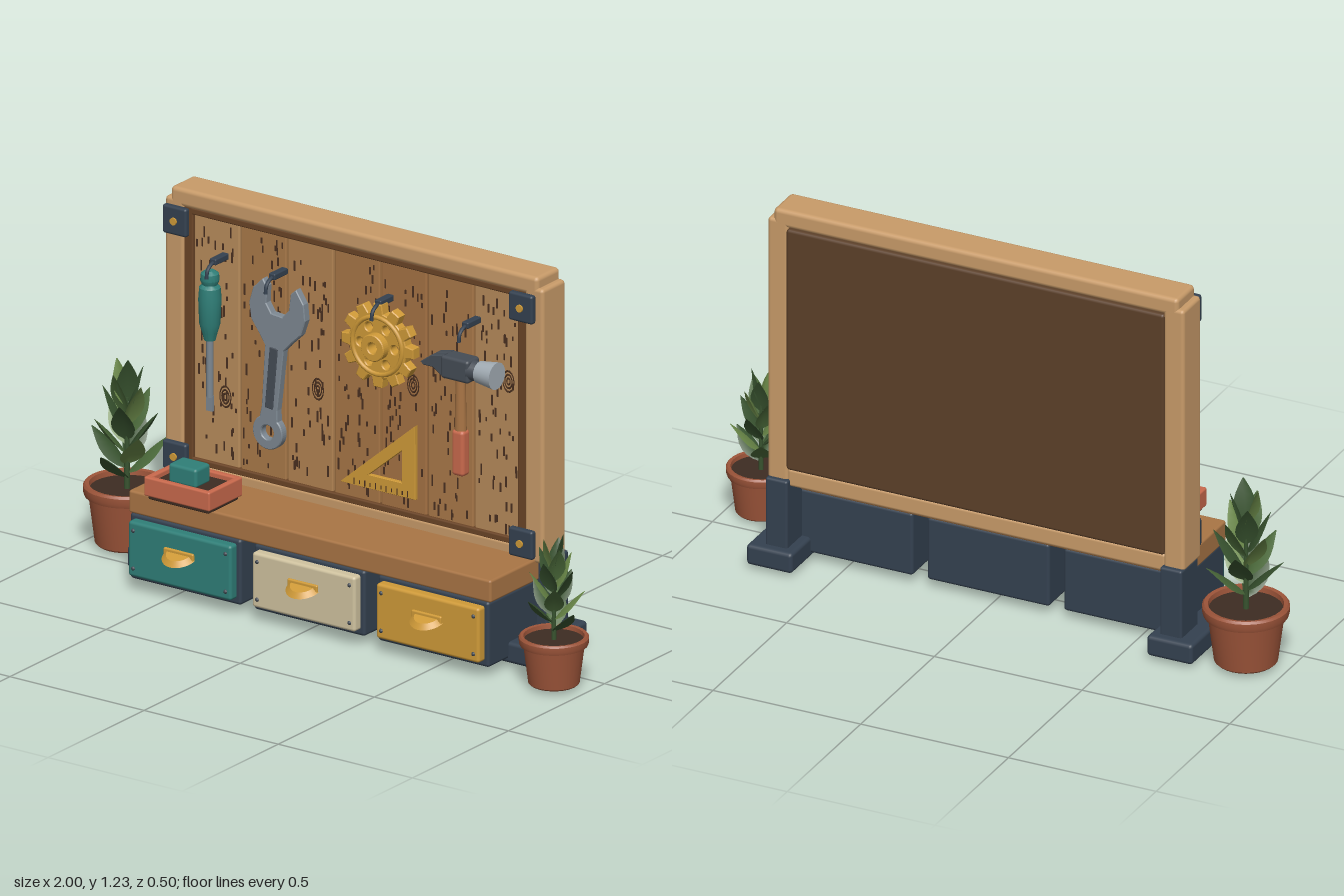
import * as THREE from 'three';
import { mergeGeometries, toCreasedNormals } from 'three/addons/utils/BufferGeometryUtils.js';
import { RoundedBoxGeometry } from 'three/addons/geometries/RoundedBoxGeometry.js';

const C = {
  tan: 0xc89b69, bench: 0xa97545, trim: 0x6b4527, back: 0x5c4029, grain: 0x4a3020, dark: 0x344150,
  teal: 0x2f7f78, cream: 0xd0c3a0, gold: 0xcf9a38, salmon: 0xc9694c, clay: 0x9c5439, soil: 0x3d2c22,
  steel: 0x7d8892, iron: 0x454c55, light: 0xa3adb5, leafDark: 0x38532f, leafMid: 0x4b6a3a, leafLight: 0x6a8848,
};
const mats = {};
const mat = (c) => (mats[c] ??= new THREE.MeshStandardMaterial({ color: c }));

let seed = 7;
const rnd = () => (seed = (seed * 16807) % 2147483647) / 2147483647;

function add(parent, name, geo, color, x = 0, y = 0, z = 0) {
  const m = new THREE.Mesh(geo, mat(color));
  m.name = name;
  m.position.set(x, y, z);
  parent.add(m);
  return m;
}

// Rounded block given by its extents on each axis
function block(parent, name, color, [x0, x1], [y0, y1], [z0, z1], r = 0.008) {
  return add(parent, name, new RoundedBoxGeometry(x1 - x0, y1 - y0, z1 - z0, 2, r), color,
    (x0 + x1) / 2, (y0 + y1) / 2, (z0 + z1) / 2);
}

const extrude = (shape, depth, bevel = 0.003) => new THREE.ExtrudeGeometry(shape, {
  depth, bevelEnabled: bevel > 0, bevelSize: bevel, bevelThickness: bevel, bevelSegments: 1, curveSegments: 20,
});
const polygon = (pts) => new THREE.Shape(pts.map((p) => new THREE.Vector2(...p)));
const circle = (x, y, r) => new THREE.Path().absarc(x, y, r, 0, Math.PI * 2, true);
const lathe = (pts, n = 24) =>
  toCreasedNormals(new THREE.LatheGeometry(pts.map((p) => new THREE.Vector2(...p)), n), 0.6);

function buildFrame(g) {
  for (const s of [-1, 1]) {
    const span = (a, b) => (s > 0 ? [a, b] : [-b, -a]);
    block(g, 'framePost', C.tan, span(0.635, 0.705), [0.3, 1.19], [-0.19, -0.07], 0.012);
    block(g, 'innerTrim', C.trim, span(0.605, 0.642), [0.34, 1.17], [-0.17, -0.077], 0.005);
    block(g, 'leg', C.dark, span(0.63, 0.705), [0.01, 0.31], [-0.205, -0.09]);
    block(g, 'foot', C.dark, span(0.6, 0.755), [0.015, 0.083], [-0.235, 0.06], 0.012);
    block(g, 'footPad', C.dark, span(0.64, 0.71), [0, 0.02], [-0.2, -0.1], 0.005);
    // Corner plates with bolts
    for (const y of [0.368, 1.13]) {
      block(g, 'cornerPlate', C.dark, span(0.6, 0.69), [y - 0.046, y + 0.046], [-0.057, -0.034], 0.008);
      const bolt = add(g, 'bolt', new THREE.CylinderGeometry(0.012, 0.012, 0.008, 12), C.gold, s * 0.645, y, -0.032);
      bolt.rotation.x = Math.PI / 2;
    }
  }
  block(g, 'topRail', C.tan, [-0.685, 0.685], [1.165, 1.225], [-0.19, -0.07], 0.014);
  block(g, 'bottomRail', C.tan, [-0.64, 0.64], [0.285, 0.345], [-0.185, -0.075], 0.01);
  for (const y of [0.35, 1.157]) block(g, 'innerTrim', C.trim, [-0.64, 0.64], [y - 0.011, y + 0.011], [-0.17, -0.077], 0.005);
  block(g, 'backPanel', C.back, [-0.64, 0.64], [0.345, 1.165], [-0.195, -0.13], 0.01);
}

function buildPlanks(g) {
  const w = 1.22 / 7;
  const tones = [0xb98d5c, 0xaa7a49, 0xb28352, 0xa77646, 0xa57243, 0xa97848, 0xb68a5a];
  const grain = [];
  for (let i = 0; i < 7; i++) {
    const x0 = -0.61 + i * w;
    block(g, 'plank', tones[i], [x0 + 0.003, x0 + w - 0.003], [0.355, 1.152], [-0.15, -0.087], 0.005);
    for (let k = 0; k < 55; k++) {
      const dash = new THREE.BoxGeometry(0.005, 0.012 + rnd() * 0.025, 0.004);
      dash.translate(x0 + 0.014 + rnd() * (w - 0.028), 0.38 + rnd() * 0.74, -0.0865);
      grain.push(dash);
    }
  }
  // Knots made of nested rings
  for (const [x, y] of [[-0.49, 0.58], [-0.145, 0.68], [0.21, 0.77], [0.565, 0.86]])
    for (const r of [0.008, 0.017, 0.026])
      grain.push(new THREE.TorusGeometry(r, 0.0025, 4, 14).scale(0.8, 1.3, 1).translate(x, y, -0.086));
  add(g, 'woodGrain', mergeGeometries(grain), C.grain);
  block(g, 'plankBacking', C.trim, [-0.61, 0.61], [0.35, 1.16], [-0.155, -0.1], 0.004);
}

function buildBench(g) {
  block(g, 'benchTop', C.bench, [-0.675, 0.675], [0.24, 0.313], [-0.11, 0.16]);
  [C.teal, C.cream, C.gold].forEach((color, i) => {
    const d = new THREE.Group();
    d.name = 'drawer';
    d.position.x = (i - 1) * 0.462;
    g.add(d);
    block(d, 'drawerCase', C.dark, [-0.207, 0.207], [0.03, 0.242], [-0.105, 0.162], 0.01);
    block(d, 'drawerFront', color, [-0.192, 0.192], [0.05, 0.228], [0.15, 0.193], 0.01);
    for (const x of [-0.172, 0.172]) for (const y of [0.078, 0.2])
      add(d, 'drawerBolt', new THREE.SphereGeometry(0.007, 8, 6), C.iron, x, y, 0.192);
    // Cup pull: half-ring lip under a sloping hood
    const pull = add(d, 'drawerPull', new THREE.CylinderGeometry(0.042, 0.058, 0.014, 20, 1, false, -Math.PI / 2, Math.PI), C.gold, 0, 0.16, 0.19);
    pull.rotation.x = 0.35;
    pull.material.side = THREE.DoubleSide;
    block(d, 'pullPlate', C.gold, [-0.056, 0.056], [0.147, 0.174], [0.188, 0.2], 0.005);
  });
}

function buildTray(g) {
  const [x0, x1, z0, z1] = [-0.59, -0.345, 0.025, 0.2];
  block(g, 'trayBase', C.soil, [x0 + 0.01, x1 - 0.01], [0.313, 0.37], [z0 + 0.01, z1 - 0.01], 0.004);
  for (const x of [x0, x1 - 0.02]) block(g, 'traySide', C.salmon, [x, x + 0.02], [0.325, 0.387], [z0, z1], 0.006);
  for (const z of [z0, z1 - 0.02]) block(g, 'traySide', C.salmon, [x0, x1], [0.325, 0.387], [z, z + 0.02], 0.006);
  block(g, 'trayBlock', C.teal, [-0.535, -0.43], [0.365, 0.427], [0.073, 0.15], 0.01);
}

function buildHooks(g) {
  for (const x of [-0.49, -0.27, 0.125, 0.45]) {
    block(g, 'hookBase', C.dark, [x - 0.012, x + 0.012], [1.026, 1.046], [-0.09, -0.02], 0.004);
    const path = new THREE.CatmullRomCurve3([[1.036, -0.05], [1.03, -0.01], [1.015, 0.008], [0.99, 0.012]]
      .map(([y, z]) => new THREE.Vector3(x, y, z)));
    add(g, 'hookArm', new THREE.TubeGeometry(path, 12, 0.006, 8), C.dark);
  }
}

function buildTools(g) {
  // Screwdriver
  const driver = new THREE.Group();
  driver.name = 'screwdriver';
  driver.position.set(-0.497, 0, -0.015);
  g.add(driver);
  add(driver, 'driverHandle', lathe([[0, 0.785], [0.018, 0.785], [0.024, 0.81], [0.033, 0.84], [0.036, 0.92], [0.033, 0.955],
    [0.024, 0.965], [0.03, 0.98], [0.028, 1.0], [0.015, 1.01], [0, 1.01]], 16), C.teal);
  add(driver, 'driverShaft', new THREE.CylinderGeometry(0.011, 0.011, 0.19, 12), C.steel, 0, 0.695);
  add(driver, 'driverTip', new THREE.BoxGeometry(0.024, 0.05, 0.008), C.steel, 0, 0.58);

  // Wrench: open jaw above, ring below
  const half = [[0.026, 0.08], [0.032, 0.28], [0.055, 0.31], [0.09, 0.35], [0.102, 0.4], [0.092, 0.45],
    [0.062, 0.487], [0.047, 0.47], [0.045, 0.415], [0.022, 0.385]];
  const wrench = polygon([...half, ...half.map(([x, y]) => [-x, y]).reverse()]);
  wrench.absarc(0, 0, 0.052, 2.2, Math.PI * 2 + 0.94, false);
  wrench.holes.push(circle(0, 0, 0.026));
  const w = add(g, 'wrench', extrude(wrench, 0.022), C.steel, -0.285, 0.53, -0.042);
  w.rotation.z = -0.09;
  add(w, 'wrenchGroove', new RoundedBoxGeometry(0.03, 0.2, 0.006, 2, 0.003), C.iron, 0, 0.18, 0.025);

  // Gear with spoke holes and hub
  const teeth = [];
  for (let i = 0; i < 12; i++)
    for (const [a, r] of [[-0.17, 0.104], [-0.1, 0.132], [0.1, 0.132], [0.17, 0.104]]) {
      const t = a + (i * Math.PI) / 6;
      teeth.push([r * Math.cos(t), r * Math.sin(t)]);
    }
  const gear = polygon(teeth);
  gear.holes.push(circle(0, 0, 0.02));
  for (let i = 0; i < 6; i++) gear.holes.push(circle(0.064 * Math.cos(i * Math.PI / 3), 0.064 * Math.sin(i * Math.PI / 3), 0.017));
  const gm = add(g, 'gear', extrude(gear, 0.03), C.gold, 0.125, 0.9, -0.05);
  add(gm, 'gearRim', new THREE.TorusGeometry(0.092, 0.008, 8, 32), C.gold, 0, 0, 0.032);
  const hub = new THREE.Shape().absarc(0, 0, 0.04, 0, Math.PI * 2, false);
  hub.holes.push(circle(0, 0, 0.02));
  add(gm, 'gearHub', extrude(hub, 0.068), C.gold, 0, 0, -0.01);

  // Set square with scale marks
  const square = polygon([[0, 0], [0.275, 0], [0.275, 0.235]]);
  square.holes.push(polygon([[0.1, 0.042], [0.228, 0.15], [0.228, 0.042]]));
  const sq = add(g, 'setSquare', extrude(square, 0.012, 0.002), C.gold, -0.015, 0.43, -0.037);
  for (let i = 0; i < 11; i++)
    add(sq, 'scaleMark', new THREE.BoxGeometry(0.003, i % 2 ? 0.012 : 0.02, 0.003), C.grain, 0.05 + i * 0.02, 0.012, 0.014);

  // Hammer
  const h = new THREE.Group();
  h.name = 'hammer';
  h.position.set(0.45, 0.908, 0.002);
  g.add(h);
  const handle = add(h, 'hammerHandle', new THREE.CylinderGeometry(0.015, 0.02, 0.24, 12), C.bench, 0, -0.1);
  handle.scale.z = 0.85;
  block(h, 'hammerGrip', C.salmon, [-0.023, 0.023], [-0.348, -0.2], [-0.02, 0.02], 0.012);
  block(h, 'hammerHead', C.iron, [-0.055, 0.05], [-0.037, 0.037], [-0.032, 0.032], 0.01);
  const side = (name, r0, r1, x0, x1, c) => {
    const m = add(h, name, new THREE.CylinderGeometry(r1, r0, x1 - x0, 20), c, (x0 + x1) / 2);
    m.rotation.z = -Math.PI / 2;
  };
  side('hammerNeck', 0.034, 0.028, 0.04, 0.075, C.iron);
  side('hammerFace', 0.034, 0.043, 0.07, 0.135, C.light);
  // Curved split claw
  const claw = polygon([[-0.045, 0.035], [-0.09, 0.025], [-0.128, -0.002], [-0.122, -0.008], [-0.085, -0.008], [-0.045, -0.035]]);
  for (const z of [-0.026, 0.006]) add(h, 'hammerClaw', extrude(claw, 0.018), C.iron, 0, 0, z);
}

// Folded leaf: pointed blade growing along +y, arching toward +z
function leafGeometry(len, width) {
  const geo = new THREE.PlaneGeometry(1, 1, 2, 7);
  const p = geo.attributes.position;
  for (let i = 0; i < p.count; i++) {
    const t = p.getY(i) + 0.5, u = p.getX(i) * 2;
    const w = (width / 2) * Math.sin(Math.PI * Math.pow(t, 0.85)) + 0.002;
    p.setXYZ(i, u * w, t * len, Math.abs(u) * w * 0.4 + 0.18 * len * t * t);
  }
  geo.computeVertexNormals();
  return geo;
}

function buildPlant(g, x, z, s, turn) {
  const plant = new THREE.Group();
  plant.name = 'pottedPlant';
  plant.position.set(x, 0.012, z);
  plant.scale.setScalar(s);
  plant.rotation.y = turn;
  g.add(plant);
  add(plant, 'pot', lathe([[0, 0], [0.092, 0], [0.098, 0.006], [0.117, 0.155], [0.13, 0.158], [0.134, 0.17], [0.134, 0.188],
    [0.128, 0.195], [0.116, 0.193], [0.112, 0.165], [0, 0.165]], 28), C.clay);
  add(plant, 'soil', new THREE.CylinderGeometry(0.114, 0.11, 0.01, 24), C.soil, 0, 0.172);
  add(plant, 'stem', new THREE.CylinderGeometry(0.005, 0.01, 0.3, 8), C.leafDark, 0, 0.32);
  const tones = [C.leafDark, C.leafMid, C.leafDark, C.leafLight];
  for (let i = 0; i < 17; i++) {
    const t = i / 16;
    const leaf = add(plant, 'leaf', leafGeometry(0.17 - 0.02 * t, 0.076 - 0.012 * t), tones[i % 4], 0, 0.21 + 0.245 * t, 0);
    leaf.material.side = THREE.DoubleSide;
    leaf.rotation.order = 'YXZ';
    leaf.rotation.set(0.72 - 0.66 * t, i * 2.4, 0);
  }
}

export function createModel() {
  const model = new THREE.Group();
  model.name = 'toolWallBench';
  const unit = new THREE.Group();
  unit.name = 'workbench';
  unit.position.x = 0.015;
  model.add(unit);
  for (const build of [buildFrame, buildPlanks, buildBench, buildTray, buildHooks, buildTools]) build(unit);
  buildPlant(model, -0.866, -0.12, 1, 0);
  buildPlant(model, 0.89, 0.11, 0.8, 1.2);
  return model;
}
